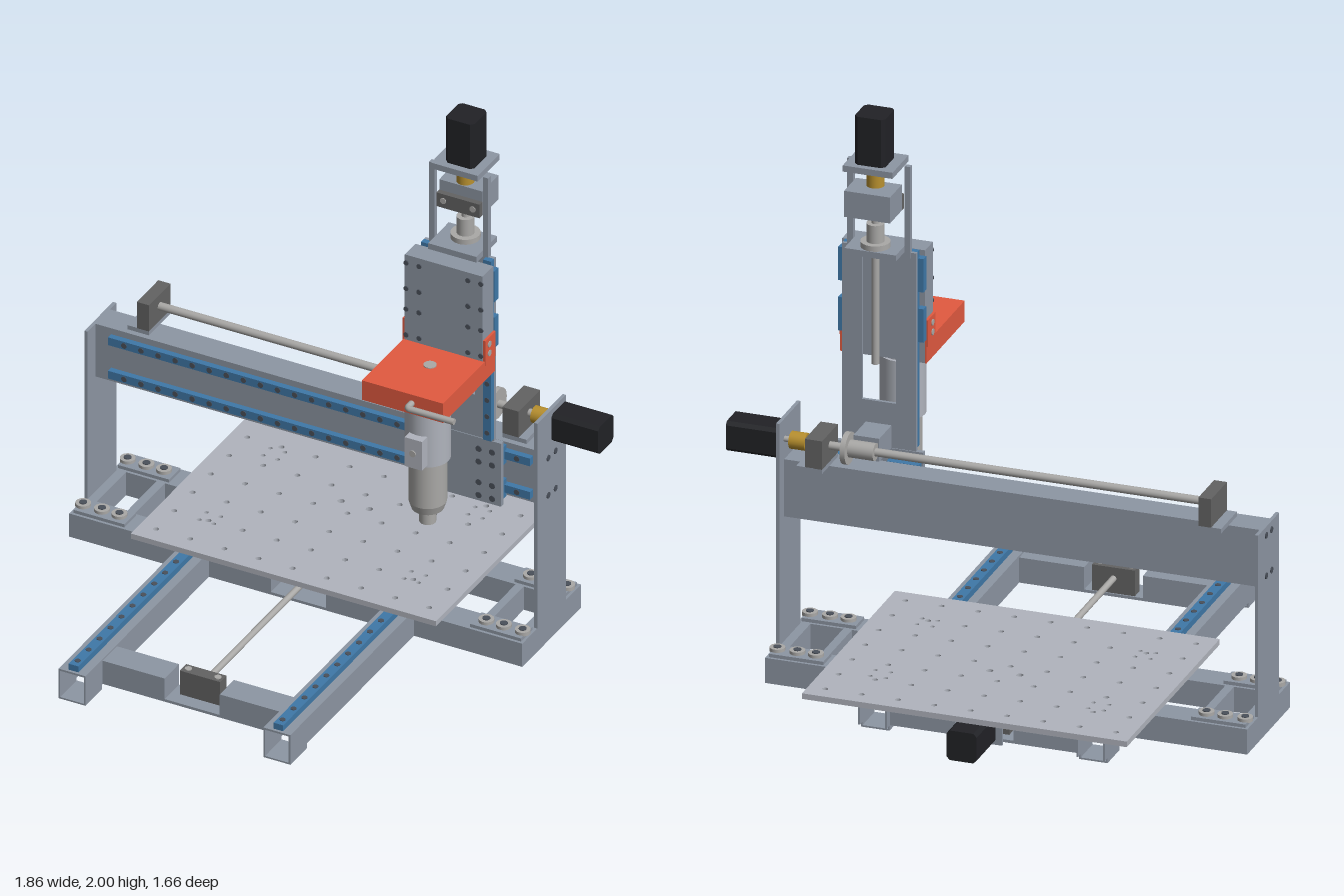
import * as THREE from 'three';

const mat = (color) => new THREE.MeshStandardMaterial({ color });
const FRAME = mat(0x8d96a3), TABLE = mat(0xb0b4bd), BLUE = mat(0x3f78a8), ORANGE = mat(0xe25a40),
  DARK = mat(0x636363), MOTOR = mat(0x212226), GOLD = mat(0xb8902e), STEEL = mat(0xaaa9a7), BOLT = mat(0x4a505a);

export function createModel() {
  const model = new THREE.Group();
  model.name = 'millingMachine';

  const add = (name, geo, material) => {
    const m = new THREE.Mesh(geo, material);
    m.name = name;
    model.add(m);
    return m;
  };
  // Box given by its extents
  const box = (name, x0, x1, y0, y1, z0, z1, material = FRAME) => {
    const g = new THREE.BoxGeometry(x1 - x0, y1 - y0, z1 - z0);
    g.translate((x0 + x1) / 2, (y0 + y1) / 2, (z0 + z1) / 2);
    return add(name, g, material);
  };
  // Cylinder centred at a point along an axis
  const rod = (name, axis, x, y, z, r, length, material = STEEL, r2 = r) => {
    const g = new THREE.CylinderGeometry(r, r2, length, 24);
    if (axis === 'x') g.rotateZ(-Math.PI / 2);
    if (axis === 'z') g.rotateX(Math.PI / 2);
    g.translate(x, y, z);
    return add(name, g, material);
  };
  const rect = (x0, x1, y0, y1) => new THREE.Shape([[x0, y0], [x1, y0], [x1, y1], [x0, y1]].map(p => new THREE.Vector2(...p)));
  const extrude = (shape, depth) => new THREE.ExtrudeGeometry(shape, { depth, bevelEnabled: false, curveSegments: 8 });
  // Motor: square body with cut corners, between two positions on its axis
  const motor = (name, axis, x, y, z, length) => {
    const h = 0.053, c = 0.012;
    const s = new THREE.Shape([[h - c, -h], [h, c - h], [h, h - c], [h - c, h], [c - h, h], [-h, h - c], [-h, c - h], [c - h, -h]]
      .map(p => new THREE.Vector2(...p)));
    const g = extrude(s, length).translate(0, 0, -length / 2);
    if (axis === 'x') g.rotateY(Math.PI / 2);
    if (axis === 'y') g.rotateX(-Math.PI / 2);
    add(name, g.translate(x, y, z), MOTOR);
  };

  const CX = -0.0875, SCREW = -0.075;
  const mirror = (x) => 2 * CX - x;

  // Base: open channels along z carrying the table rails
  for (const x of [-0.46, 0.302]) {
    box('baseChannelTop', x - 0.05, x + 0.05, 0.108, 0.115, -0.65, 0.83);
    for (const s of [-1, 1]) {
      const a = x + s * 0.047;
      box('baseChannelSide', a - 0.003, a + 0.003, 0.018, 0.108, -0.65, 0.83);
      for (const z of [0.77, -0.57]) box('footSide', a - 0.003, a + 0.003, 0, 0.018, z - 0.055, z + 0.06);
    }
    for (const z of [0.77, -0.57]) box('footPlate', x - 0.05, x + 0.05, 0, 0.006, z - 0.055, z + 0.06);
    box('tableRail', x - 0.018, x + 0.018, 0.115, 0.138, -0.65, 0.82, BLUE);
    for (let z = 0.79; z > -0.64; z -= 0.076) rod('railScrew', 'y', x, 0.1385, z, 0.01, 0.003, BOLT);
    for (const z of [-0.075, -0.565]) box('tableSlider', x - 0.035, x + 0.035, 0.122, 0.155, z - 0.055, z + 0.055, BLUE);
  }
  // Cross members, notched in the middle for the screw
  for (const [z0, z1] of [[0.61, 0.71], [-0.13, -0.03], [-0.44, -0.34], [-0.62, -0.52]]) {
    box('crossMember', -0.41, -0.18, 0.018, 0.108, z0, z1);
    box('crossMember', 0.025, 0.252, 0.018, 0.108, z0, z1);
    box('crossMemberBridge', -0.18, 0.025, 0.018, 0.028, z0, z1);
  }

  // Table drive
  rod('tableScrew', 'z', SCREW, 0.08, 0.02, 0.011, 1.26);
  box('tableScrewSupport', -0.15, 0, 0.02, 0.12, 0.615, 0.66, DARK);
  for (const x of [-0.13, -0.02]) rod('supportBolt', 'y', x, 0.121, 0.638, 0.012, 0.004, STEEL);
  box('tableScrewSupport', -0.15, 0, 0.028, 0.12, -0.58, -0.53, DARK);
  rod('tableCoupling', 'z', SCREW, 0.077, -0.61, 0.028, 0.05, GOLD);
  box('tableMotorPlate', -0.15, 0, 0.018, 0.135, -0.65, -0.64);
  motor('tableMotor', 'z', SCREW, 0.077, -0.74, 0.18);
  box('tableNutBlock', -0.15, 0, 0.05, 0.155, -0.39, -0.29);

  // Table plate with a grid of holes
  const plate = rect(-0.645, 0.49, -0.075, 0.81);
  const hole = (x, y, r) => plate.holes.push(new THREE.Path().absarc(x, y, r, 0, Math.PI * 2, true));
  for (let i = 0; i < 9; i++) for (let j = 0; j < 7; j++) hole(-0.585 + i * 0.127, -0.012 + j * 0.127, 0.01);
  for (const x of [-0.46, 0.302]) for (const z of [-0.575, -0.13]) for (const s of [-1, 1]) for (const t of [-1, 1])
    hole(x + s * 0.027, -z + t * 0.025, 0.008);
  hole(-0.13, 0.425, 0.012);
  hole(-0.025, 0.425, 0.012);
  add('tablePlate', extrude(plate, 0.02).rotateX(-Math.PI / 2).translate(0, 0.155, 0), TABLE);

  // Gantry feet, mirrored to each side
  const pair = (name, x0, x1, ...rest) => {
    box(name, x0, x1, ...rest);
    box(name, mirror(x1), mirror(x0), ...rest);
  };
  for (const [z0, z1] of [[-0.13, -0.03], [-0.44, -0.34]]) {
    pair('gantryFootBeam', -0.93, -0.51, 0.018, 0.108, z0, z1);
    pair('footBracket', -0.92, -0.73, 0.108, 0.12, z0 + 0.01, z1 - 0.01);
    for (const x of [-0.905, -0.835, -0.77]) for (const a of [x, mirror(x)]) {
      rod('bracketBoss', 'y', a, 0.124, (z0 + z1) / 2, 0.026, 0.014);
      rod('bracketBolt', 'y', a, 0.132, (z0 + z1) / 2, 0.013, 0.004, BOLT);
    }
  }
  pair('footEndBeam', -0.93, -0.885, 0.018, 0.108, -0.34, -0.13);
  pair('footInnerBeam', -0.77, -0.74, 0.018, 0.108, -0.34, -0.13);

  // Gantry uprights and beam
  box('leftUpright', 0.743, 0.755, 0.1, 0.905, -0.335, -0.135);
  box('rightUpright', -0.93, -0.918, 0.1, 0.76, -0.335, -0.135);
  for (const y of [0.585, 0.73]) for (const z of [-0.21, -0.26]) for (const x of [-0.931, 0.756])
    rod('uprightBolt', 'x', x, y, z, 0.011, 0.004, BOLT);
  box('gantryBeam', -0.918, 0.743, 0.555, 0.76, -0.29, -0.19);
  for (const y of [0.592, 0.722]) {
    box('gantryRail', -0.86, 0.71, y - 0.015, y + 0.015, -0.19, -0.168, BLUE);
    for (let x = -0.8; x < 0.7; x += 0.0635) rod('railScrew', 'z', x, y, -0.1675, 0.01, 0.003, BOLT);
    for (const x of [0.37, 0.56]) box('gantrySlider', x - 0.055, x + 0.055, y - 0.035, y + 0.035, -0.182, -0.148, BLUE);
  }

  // Gantry drive
  rod('gantryScrew', 'x', -0.03, 0.832, -0.285, 0.014, 1.42);
  box('gantryScrewSupport', -0.775, -0.73, 0.775, 0.877, -0.36, -0.21, DARK);
  box('gantryScrewSupport', 0.585, 0.645, 0.775, 0.877, -0.36, -0.21, DARK);
  box('supportBase', -0.81, -0.73, 0.76, 0.776, -0.36, -0.21);
  box('supportBase', 0.585, 0.675, 0.76, 0.776, -0.36, -0.21);
  rod('gantryCoupling', 'x', 0.692, 0.832, -0.285, 0.03, 0.056, GOLD);
  rod('gantryMotorShaft', 'x', 0.71, 0.832, -0.285, 0.01, 0.09);
  motor('gantryMotor', 'x', 0.842, 0.832, -0.285, 0.175);
  rod('gantryNut', 'x', 0.475, 0.832, -0.285, 0.03, 0.1);
  rod('gantryNutFlange', 'x', 0.523, 0.832, -0.285, 0.055, 0.018);
  box('nutBracket', 0.42, 0.51, 0.79, 0.872, -0.265, -0.148);

  // Head carriage: wide lower plate and slotted upper plate
  const HX = 0.465, HZ = -0.178;
  box('carriagePlate', 0.31, 0.623, 0.545, 0.79, -0.148, -0.13);
  for (const x of [0.34, 0.39, 0.54, 0.59]) for (const y of [0.567, 0.617, 0.697, 0.747])
    rod('carriageBolt', 'z', x, y, -0.129, 0.011, 0.004, BOLT);
  const back = rect(0.335, 0.595, 0.79, 1.5);
  back.holes.push(new THREE.Path(rect(0.405, 0.525, 0.95, 1.48).getPoints().reverse()));
  add('headBackPlate', extrude(back, 0.012).translate(0, 0, -0.145), FRAME);
  for (const s of [-1, 1]) {
    const x = HX + s * 0.115;
    box('headUpright', HX + s * 0.1 - 0.01, HX + s * 0.1 + 0.01, 1.48, 1.808, -0.148, -0.13);
    box('headRail', x - 0.015, x + 0.015, 0.8, 1.5, -0.133, -0.112, BLUE);
    for (let y = 0.83; y < 1.49; y += 0.0635) rod('railScrew', 'z', x, y, -0.1115, 0.009, 0.003, BOLT);
    for (const y of [1.235, 1.415]) {
      box('headSlider', x - 0.034, x + 0.034, y - 0.06, y + 0.06, -0.127, -0.1, BLUE);
      for (const dy of [-0.05, 0.05]) for (const dx of [-0.024, 0.024])
        rod('sliderBolt', 'z', x + dx, y + dy, -0.024, 0.009, 0.004, BOLT);
    }
    // Orange cheeks beside the tool plate
    const c = HX + s * 0.148;
    box('mountCheek', c - 0.006, c + 0.006, 1.15, 1.245, -0.1, -0.028, ORANGE);
    for (const y of [1.185, 1.22]) rod('cheekBolt', 'x', HX + s * 0.155, y, -0.055, 0.011, 0.004, STEEL);
  }
  box('toolPlate', 0.32, 0.61, 1.09, 1.495, -0.1, -0.026);

  // Head drive
  rod('headScrew', 'y', HX, 1.42, HZ, 0.013, 0.64);
  box('headNutPlate', 0.375, 0.555, 1.5, 1.522, -0.23, -0.085);
  rod('headNutFlange', 'y', HX, 1.531, HZ, 0.05, 0.02);
  rod('headNut', 'y', HX, 1.57, HZ, 0.03, 0.07);
  box('headScrewSupport', 0.385, 0.545, 1.647, 1.74, -0.258, -0.145);
  box('supportFace', 0.385, 0.545, 1.647, 1.7, -0.146, -0.125, DARK);
  for (const x of [0.41, 0.52]) rod('supportBolt', 'z', x, 1.675, -0.124, 0.011, 0.004, STEEL);
  rod('headCoupling', 'y', HX, 1.765, HZ, 0.03, 0.06, GOLD);
  rod('headMotorShaft', 'y', HX, 1.8, HZ, 0.012, 0.03);
  box('headMotorPlate', 0.378, 0.552, 1.806, 1.828, -0.253, -0.1);
  motor('headMotor', 'y', HX + 0.003, 1.914, HZ, 0.172);

  // Spindle mount and lever
  const SZ = 0.085;
  box('spindleMount', 0.315, 0.617, 1.09, 1.165, -0.1, 0.262, ORANGE);
  box('mountLowerFlange', 0.35, 0.585, 1.06, 1.09, -0.035, 0.21, ORANGE);
  rod('mountTopPin', 'y', HX + 0.003, 1.166, 0.075, 0.022, 0.005);
  const lever = new THREE.CurvePath();
  const L = (x, z) => new THREE.Vector3(x, 1.132, z);
  lever.add(new THREE.LineCurve3(L(0.5, 0.25), L(0.5, 0.285)));
  lever.add(new THREE.QuadraticBezierCurve3(L(0.5, 0.285), L(0.5, 0.297), L(0.512, 0.297)));
  lever.add(new THREE.LineCurve3(L(0.512, 0.297), L(0.676, 0.297)));
  add('clampLever', new THREE.TubeGeometry(lever, 40, 0.011, 12), STEEL);
  rod('leverTip', 'x', 0.676, 1.132, 0.297, 0.011, 0.002);

  // Spindle
  rod('spindleCap', 'y', HX, 1.045, SZ, 0.066, 0.04, TABLE);
  rod('spindleBody', 'y', HX, 0.925, SZ, 0.077, 0.21, TABLE);
  rod('spindleNeck', 'y', HX, 0.735, SZ, 0.064, 0.17);
  rod('spindleTaper', 'y', HX, 0.635, SZ, 0.064, 0.03, STEEL, 0.054);
  rod('spindleCollet', 'y', HX, 0.593, SZ, 0.028, 0.056);
  box('spindleSwitch', 0.435, 0.5, 0.828, 0.94, 0.14, 0.19, TABLE);
  rod('switchButton', 'z', HX, 0.885, 0.191, 0.012, 0.006, STEEL);

  return model;
}
